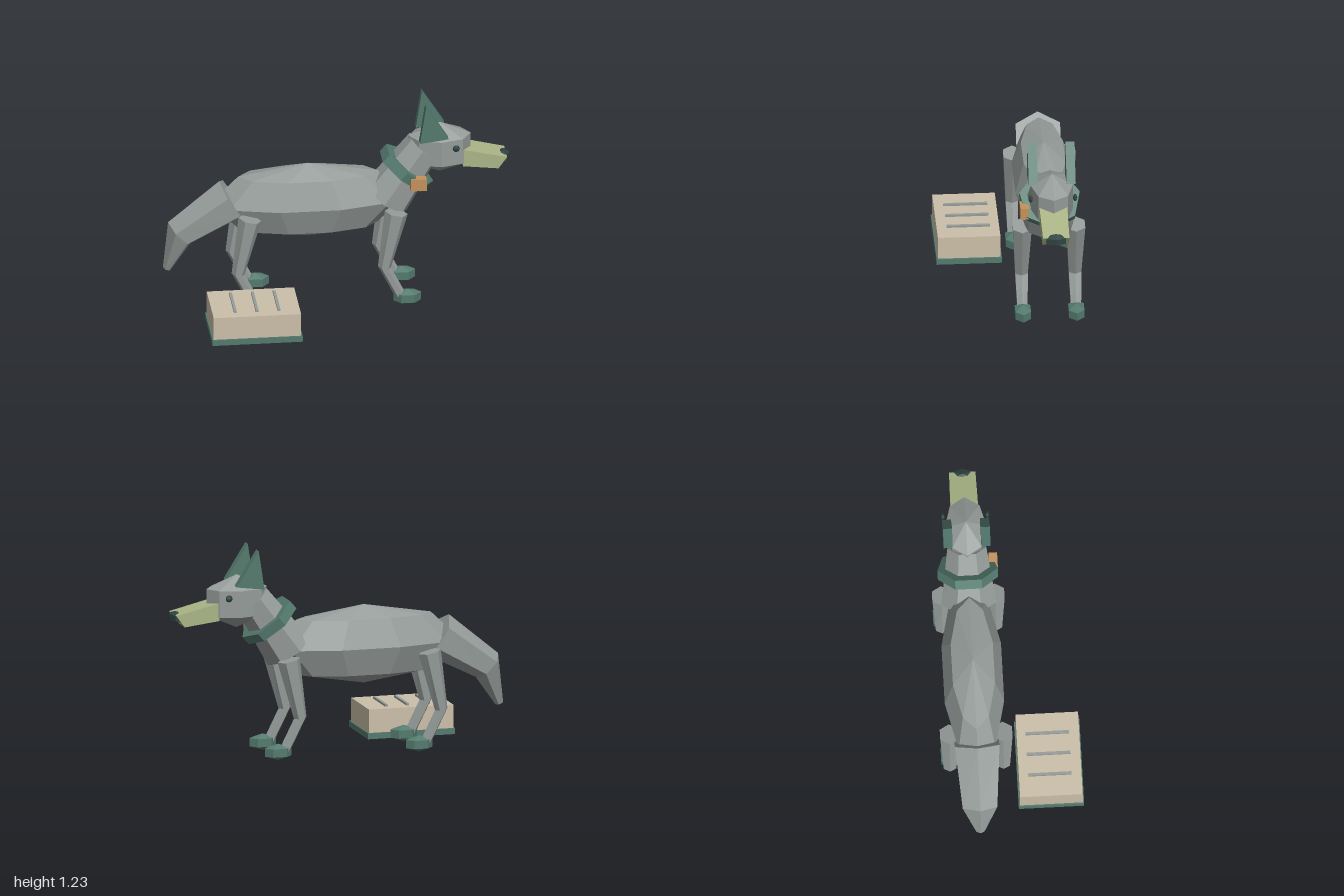
import * as THREE from 'three';

const paint = (name, color) => {
  const m = new THREE.MeshStandardMaterial({ color });
  m.name = name;
  return m;
};

export function createModel() {
  const fur = paint('grey fur', 0x959c99);
  const green = paint('dark green', 0x547a6e);
  const dark = paint('nose black', 0x2f4341);
  const pale = paint('pale muzzle', 0xaab586);
  const tan = paint('tan box', 0xcbbfa8);
  const copper = paint('copper tag', 0xc4925c);

  const model = new THREE.Group();
  model.name = 'foxAndBox';
  const animal = new THREE.Group();
  animal.name = 'fox';
  animal.position.z = -0.2;
  model.add(animal);

  // Faceted mesh: split corners so every face has its own normal
  const add = (parent, name, geo, mat, x = 0, y = 0, z = 0) => {
    const g = geo.index ? geo.toNonIndexed() : geo;
    g.computeVertexNormals();
    const mesh = new THREE.Mesh(g, mat);
    mesh.name = name;
    mesh.position.set(x, y, z);
    parent.add(mesh);
    return mesh;
  };
  const ball = (rx, ry, rz, w, h) => new THREE.SphereGeometry(1, w, h).scale(rx, ry, rz);
  const box = (w, h, d) => new THREE.BoxGeometry(w, h, d);

  // Skin over rings; each ring is [backX, backY, frontX, frontY, zRadius]
  const loft = (rings, n, phase = 0) => {
    const pos = [], idx = [], s = 1 / Math.cos(phase), k = n % 2 ? 1 + Math.cos(Math.PI / n) : 2;
    rings.forEach(([ax, ay, bx, by, rz]) => {
      const ux = (bx - ax) / k, uy = (by - ay) / k, cx = bx - ux, cy = by - uy;
      for (let j = 0; j < n; j++) {
        const t = phase + (j / n) * Math.PI * 2, c = Math.cos(t) * s;
        pos.push(cx + ux * c, cy + uy * c, Math.sin(t) * s * rz);
      }
    });
    const last = (rings.length - 1) * n;
    for (let j = 0; j < n; j++) {
      const q = (j + 1) % n;
      for (let i = 0; i < last; i += n) {
        idx.push(i + j, i + n + j, i + q, i + q, i + n + j, i + n + q);
      }
      if (j > 0 && j < n - 1) idx.push(0, j, j + 1, last, last + j + 1, last + j);
    }
    const g = new THREE.BufferGeometry();
    g.setAttribute('position', new THREE.Float32BufferAttribute(pos, 3));
    g.setIndex(idx);
    return g;
  };

  // Trunk, neck and tail
  add(animal, 'body', ball(0.57, 0.23, 0.18, 10, 4), fur, -0.163, 0.625);
  add(animal, 'neck', loft([
    [0.18, 0.69, 0.41, 0.53, 0.162],
    [0.43, 0.99, 0.59, 0.855, 0.115],
  ], 7), fur);
  add(animal, 'collar', loft([
    [0.262, 0.87, 0.525, 0.66, 0.178],
    [0.3, 0.915, 0.562, 0.703, 0.178],
  ], 7), green);
  add(animal, 'collarTag', box(0.092, 0.072, 0.05), copper, 0.459, 0.76, 0.15);
  add(animal, 'tail', loft([
    [-1.0, 0.235, -0.955, 0.218, 0.027],
    [-0.97, 0.52, -0.835, 0.388, 0.115],
    [-0.675, 0.765, -0.53, 0.54, 0.148],
  ], 6), fur);

  // Head, muzzle and nose
  add(animal, 'head', ball(0.208, 0.155, 0.139, 8, 3), fur, 0.598, 0.92);
  add(animal, 'muzzle', loft([
    [0.725, 0.927, 0.725, 0.823, 0.08],
    [0.98, 0.866, 0.93, 0.797, 0.076],
  ], 4, Math.PI / 4), pale);
  add(animal, 'nose', ball(0.043, 0.036, 0.075, 6, 3), dark, 0.963, 0.846);

  // Ears and eyes in mirrored pairs
  const earShape = new THREE.Shape([
    new THREE.Vector2(0.47, 1.003),
    new THREE.Vector2(0.635, 1.025),
    new THREE.Vector2(0.505, 1.231),
  ]);
  for (const side of [1, -1]) {
    const ear = new THREE.ExtrudeGeometry(earShape, { depth: 0.052, bevelEnabled: false });
    add(animal, 'ear', ear, green, 0, 0, side * 0.109 - 0.026);
    add(animal, 'eye', ball(0.021, 0.021, 0.013, 8, 4), dark, 0.68, 0.96, side * 0.128);
  }

  // Four matching legs with paws
  for (const [label, x] of [['frontLeg', 0], ['backLeg', -0.845]]) {
    for (const side of [1, -1]) {
      const leg = new THREE.Group();
      leg.name = label;
      leg.position.set(x, 0, side * 0.154);
      animal.add(leg);
      add(leg, 'lowerLeg', loft([
        [0.325, 0.05, 0.385, 0.07, 0.034],
        [0.225, 0.25, 0.3, 0.24, 0.042],
      ], 6), fur);
      add(leg, 'upperLeg', loft([
        [0.225, 0.25, 0.3, 0.24, 0.042],
        [0.265, 0.6, 0.397, 0.572, 0.062],
      ], 6), fur);
      add(leg, 'paw', ball(0.092, 0.048, 0.06, 6, 3), green, 0.395, 0.052);
    }
  }

  // Vented box on its base
  const crate = new THREE.Group();
  crate.name = 'ventedBox';
  crate.position.set(-0.521, 0, 0.219);
  model.add(crate);
  add(crate, 'boxBase', box(0.522, 0.035, 0.376), green, 0, 0.0275);
  add(crate, 'boxBody', box(0.505, 0.14, 0.36), tan, 0, 0.112);
  for (let i = -1; i <= 1; i++) {
    add(crate, 'ventSlat', box(0.016, 0.014, 0.25), fur, i * 0.126 + 0.005, 0.187, -0.003);
  }
  return model;
}
